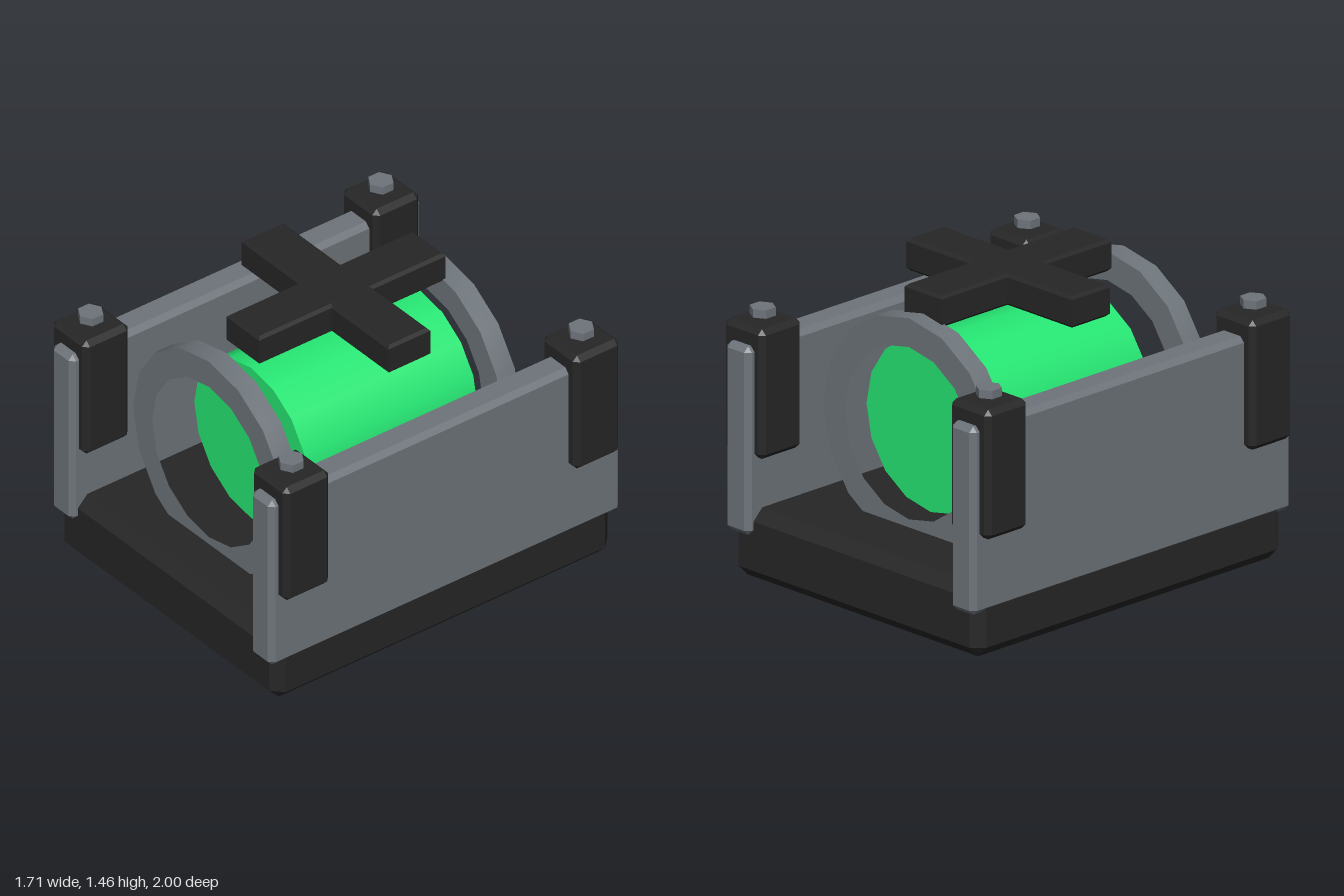
import * as THREE from 'three';
import { toCreasedNormals } from 'three/addons/utils/BufferGeometryUtils.js';
import { ConvexGeometry } from 'three/addons/geometries/ConvexGeometry.js';

function material(name, color) {
  const m = new THREE.MeshStandardMaterial({ color });
  m.name = name;
  return m;
}

// Box with straight chamfers on all edges, centred on the origin
function chamferBox(w, h, d, c) {
  const points = [];
  for (const x of [-w / 2, w / 2]) for (const y of [-h / 2, h / 2]) for (const z of [-d / 2, d / 2]) {
    const ix = x - Math.sign(x) * c, iy = y - Math.sign(y) * c, iz = z - Math.sign(z) * c;
    points.push(new THREE.Vector3(x, iy, iz), new THREE.Vector3(ix, y, iz), new THREE.Vector3(ix, iy, z));
  }
  return new ConvexGeometry(points);
}

// Regular polygon outline with a vertex at the top
function polygon(radius, sides) {
  return Array.from({ length: sides }, (_, i) => {
    const a = i / sides * Math.PI * 2;
    return new THREE.Vector2(Math.sin(a) * radius, Math.cos(a) * radius);
  });
}

export function createModel() {
  const dark = material('dark rubber', 0x262626);
  const grey = material('grey steel', 0x6d747a);
  const green = material('green core', 0x26e874);
  const group = new THREE.Group();

  function add(name, geometry, mat, x, y, z) {
    const mesh = new THREE.Mesh(geometry, mat);
    mesh.name = name;
    mesh.position.set(x, y, z);
    group.add(mesh);
    return mesh;
  }

  // Base block
  add('base', chamferBox(1.59, 0.345, 1.93, 0.055), dark, 0, 0.1725, 0);

  // Side walls, corner posts and bolts
  const wall = chamferBox(0.155, 0.9, 2, 0.025);
  const post = chamferBox(0.255, 0.62, 0.26, 0.025);
  const bolt = new THREE.CylinderGeometry(0.061, 0.061, 0.04, 6).toNonIndexed();
  bolt.computeVertexNormals();
  for (const [side, sx] of [['left', 1], ['right', -1]]) {
    add(side + 'Wall', wall, grey, sx * 0.7225, 0.674, 0);
    for (const [end, sz] of [['Front', 1], ['Back', -1]]) {
      add(side + end + 'Post', post, dark, sx * 0.726, 0.898, sz * 0.828);
      add(side + end + 'Bolt', bolt, grey, sx * 0.726, 1.245, sz * 0.828);
    }
  }

  // Core drum lying along z
  const drum = new THREE.CylinderGeometry(0.412, 0.412, 0.968, 16);
  drum.rotateX(Math.PI / 2);
  add('coreDrum', drum, green, 0, 0.795, 0);

  // End rings, the front one standing further from the drum
  const ringShape = new THREE.Shape(polygon(0.55, 16));
  ringShape.holes.push(new THREE.Path(polygon(0.412, 16)));
  const ring = toCreasedNormals(
    new THREE.ExtrudeGeometry(ringShape, { depth: 0.104, bevelEnabled: false }).translate(0, 0, -0.052), 0.5);
  add('frontRing', ring, grey, 0, 0.795, 0.672);
  add('backRing', ring, grey, 0, 0.795, -0.568);

  // Cross-shaped top handle with a small bevel
  const b = 0.014, l = 0.532 - b, w = 0.119 - b;
  const crossShape = new THREE.Shape([
    [w, w], [w, l], [-w, l], [-w, w], [-l, w], [-l, -w],
    [-w, -w], [-w, -l], [w, -l], [w, -w], [l, -w], [l, w],
  ].map(([x, y]) => new THREE.Vector2(x, y)));
  const cross = new THREE.ExtrudeGeometry(crossShape, {
    depth: 0.152 - 2 * b, bevelThickness: b, bevelSize: b, bevelSegments: 1,
  });
  cross.translate(0, 0, -(0.076 - b)).rotateX(-Math.PI / 2);
  add('topCross', cross, dark, 0, 1.38, 0);

  return group;
}
